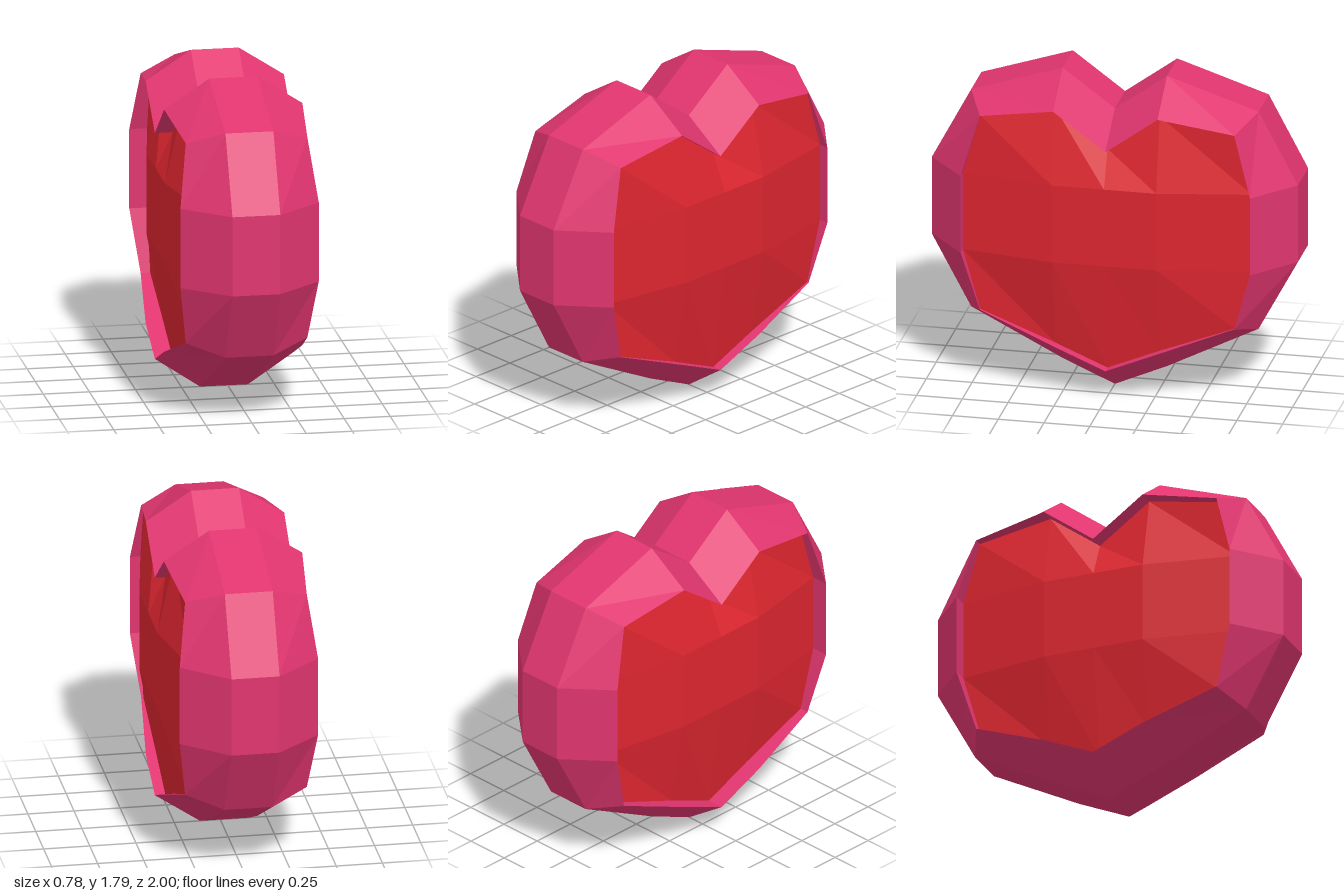
import * as THREE from 'three';

const pink = new THREE.MeshStandardMaterial({ color: 0xe0356f, flatShading: true });
const red = new THREE.MeshStandardMaterial({ color: 0xdc252f, flatShading: true });

// Half heart outlines, bottom tip to top notch, as [z, y, x offset of the rim edge]
const outerHalf = [[0, 0], [0.285, 0.125], [0.785, 0.38], [1, 0.78], [1, 1.22], [0.785, 1.625], [0.285, 1.79], [0, 1.58]];
const innerHalf = [[0, 0.165, 0.375], [0.285, 0.285, 0.375], [0.695, 0.445, 0.33], [0.79, 0.78, 0.375],
  [0.79, 1.22, 0.375], [0.695, 1.555, 0.33], [0.285, 1.63, 0.375], [0, 1.42, 0.375]];

// Mirror a half outline into a closed loop
const mirrorLoop = (half) => [...half, ...half.slice(1, -1).reverse().map(([z, y, x]) => [-z, y, x])];

// Faceted mesh from a grid of points
function gridMesh(name, rows, material, flip = false) {
  const pos = [];
  for (let i = 0; i < rows.length - 1; i++) {
    for (let j = 0; j < rows[i].length - 1; j++) {
      const q = [rows[i][j], rows[i][j + 1], rows[i + 1][j + 1], rows[i + 1][j]];
      if (flip) q.reverse();
      for (const k of [0, 1, 2, 0, 2, 3]) pos.push(...q[k]);
    }
  }
  const geometry = new THREE.BufferGeometry();
  geometry.setAttribute('position', new THREE.Float32BufferAttribute(pos, 3));
  geometry.computeVertexNormals();
  const mesh = new THREE.Mesh(geometry, material);
  mesh.name = name;
  return mesh;
}

// Heart-shaped rim: bevelled cross-section swept round the outline
function createRim() {
  const outer = mirrorLoop(outerHalf), inner = mirrorLoop(innerHalf), mid = -0.02;
  const sections = outer.map(([z, y], i) => {
    const [iz, iy, w] = inner[i];
    return [[mid - 0.13, y, z], [mid + 0.13, y, z], [mid + w, iy, iz], [mid - w, iy, iz], [mid - 0.13, y, z]];
  });
  return gridMesh('heartRim', [...sections, sections[0]], pink);
}

// Domed panel: a raised middle falling to a recessed edge inside the rim
function createPanel(name, side) {
  const edge = 0.298, top = 0.39;
  const columns = [
    [[0.165, 0], [0.78, 0], [1.22, 0], [1.42, 0]],
    [[0.285, 0.285], [0.78, 0.285], [1.22, 0.285], [1.63, 0.285]],
    [[0.445, 0.695], [0.78, 0.79], [1.22, 0.79], [1.555, 0.695]],
  ];
  const build = (c, s) => columns[c].map(([y, z], r) => {
    const raised = c < 2 && (r === 1 || r === 2);
    return [side * (raised ? top : edge), y, s * z];
  });
  const grid = [build(2, -1), build(1, -1), build(0, 1), build(1, 1), build(2, 1)];
  return gridMesh(name, grid, red, side < 0);
}

export function createModel() {
  const group = new THREE.Group();
  group.name = 'heart';
  group.add(createRim(), createPanel('leftPanel', 1), createPanel('rightPanel', -1));
  return group;
}
